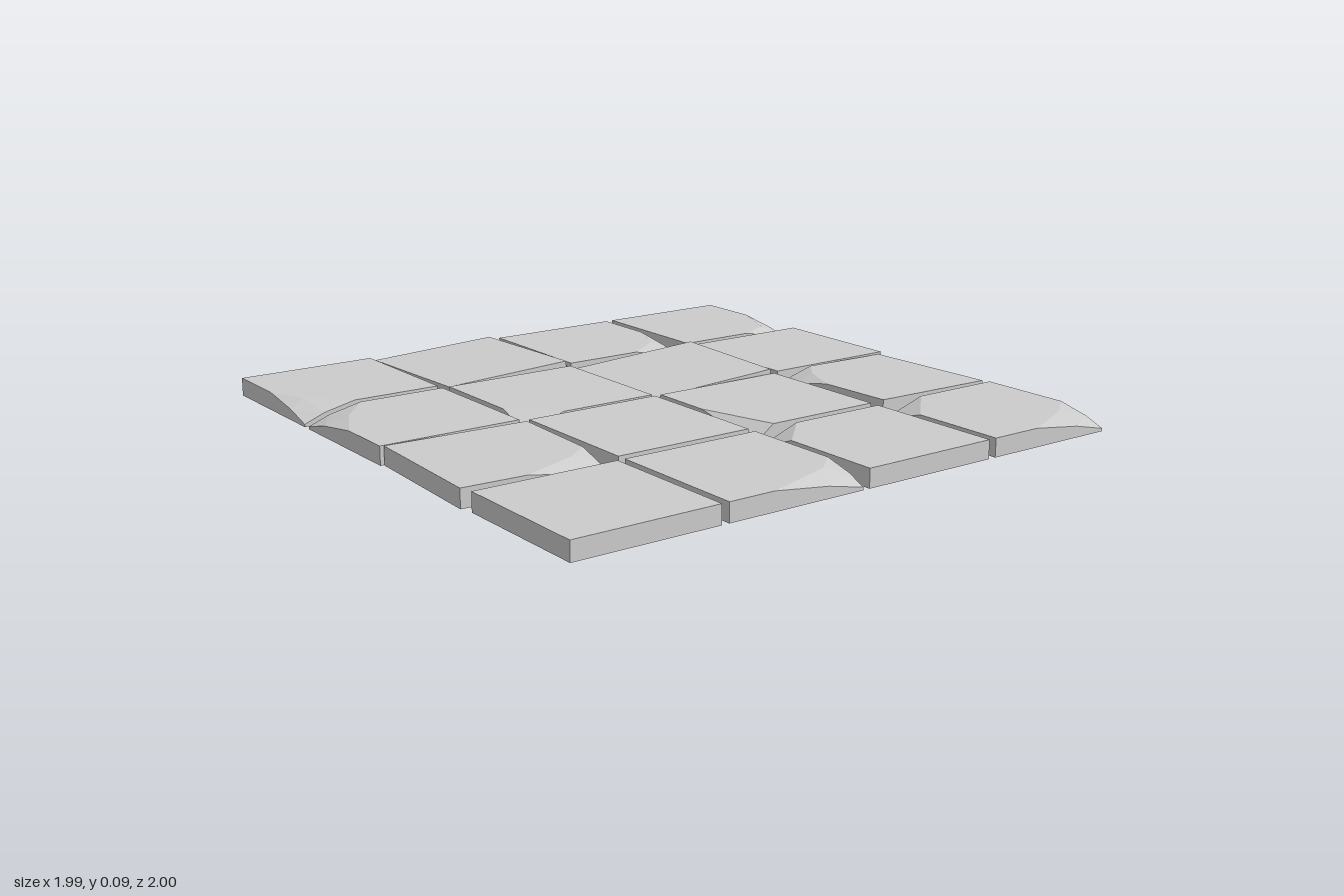
import * as THREE from 'three';
import { ConvexGeometry } from 'three/addons/geometries/ConvexGeometry.js';

const HALF = 0.2375, THICK = 0.06, BASE = 0.02;
const COLS = [-0.748, -0.243, 0.247, 0.753];
const ROWS = [-0.752, -0.25, 0.248, 0.748];

// Chips: corner signs sx/sz, cut length a along x, b along z, optional inner point m
// (offset from the corner). Settled tiles also get a small yaw and tilt.
const TILES = {
  '0,0': { chips: [{ sx: 1, sz: -1, a: 0.25, b: 0.2, m: [0.06, 0.08] }] },
  '0,2': { yaw: 0.053, tilt: -0.03, chips: [{ sx: -1, sz: 1, a: 0.22, b: 0.14, m: [0.08, 0.07] }] },
  '0,3': { chips: [
    { sx: 1, sz: -1, a: 0.17, b: 0.3, m: [0.09, 0.1] },
    { sx: -1, sz: 1, a: 0.16, b: 0.16 }] },
  '1,0': { chips: [{ sx: 1, sz: -1, a: 0.25, b: 0.2, m: [0.1, 0.06] }] },
  '1,1': { yaw: -0.053, tilt: 0.07 },
  '1,2': { chips: [{ sx: 1, sz: 1, a: 0.26, b: 0.075 }] },
  '1,3': { chips: [{ sx: -1, sz: 1, a: 0.14, b: 0.14 }] },
  '2,0': { yaw: 0.048, tilt: 0.03 },
  '2,1': { chips: [{ sx: 1, sz: 1, a: 0.135, b: 0.135 }] },
  '2,3': { chips: [{ sx: 1, sz: -1, a: 0.15, b: 0.32, m: [0.08, 0.08] }] },
  '3,0': { chips: [{ sx: 1, sz: 1, a: 0.25, b: 0.175, m: [0.12, 0.055] }] },
  '3,1': { chips: [{ sx: -1, sz: 1, a: 0.28, b: 0.18, m: [0.12, 0.08] }] },
  '3,2': { yaw: -0.045, chips: [{ sx: 1, sz: -1, a: 0.15, b: 0.27, m: [0.085, 0.075] }] },
};

// Slab as a convex solid, with broken corners sloping down to the base
function slabGeometry(chips) {
  const top = THICK / 2, low = -THICK / 2 + 0.009;
  const points = [];
  for (const sx of [-1, 1]) for (const sz of [-1, 1]) {
    const add = (dx, y, dz) =>
      points.push(new THREE.Vector3(sx * (HALF - dx), y, sz * (HALF - dz)));
    add(0, -top, 0);
    const chip = chips.find(c => c.sx === sx && c.sz === sz);
    if (!chip) { add(0, top, 0); continue; }
    add(chip.a, top, 0);
    add(0, top, chip.b);
    add(0, low, 0);
    if (chip.m) {
      // inner bend of the break, and its slightly bowed side edges
      add(chip.m[0], top, chip.m[1]);
      const bow = THREE.MathUtils.lerp(low, top, 0.4) + 0.007;
      add(chip.a * 0.4, bow, 0);
      add(0, bow, chip.b * 0.4);
    }
  }
  return new ConvexGeometry(points);
}

export function createModel() {
  const floor = new THREE.Group();
  floor.name = 'stoneFloor';
  const stone = new THREE.MeshStandardMaterial({ color: 0xcccccc, flatShading: true });

  ROWS.forEach((z, r) => COLS.forEach((x, c) => {
    const { yaw = 0, tilt = 0, chips = [] } = TILES[`${r},${c}`] ?? {};
    const tile = new THREE.Mesh(slabGeometry(chips), stone);
    tile.name = `tileRow${r + 1}Column${c + 1}`;
    tile.position.set(x, BASE + THICK / 2, z);
    tile.rotation.set(tilt, yaw, 0);
    floor.add(tile);
  }));
  return floor;
}
